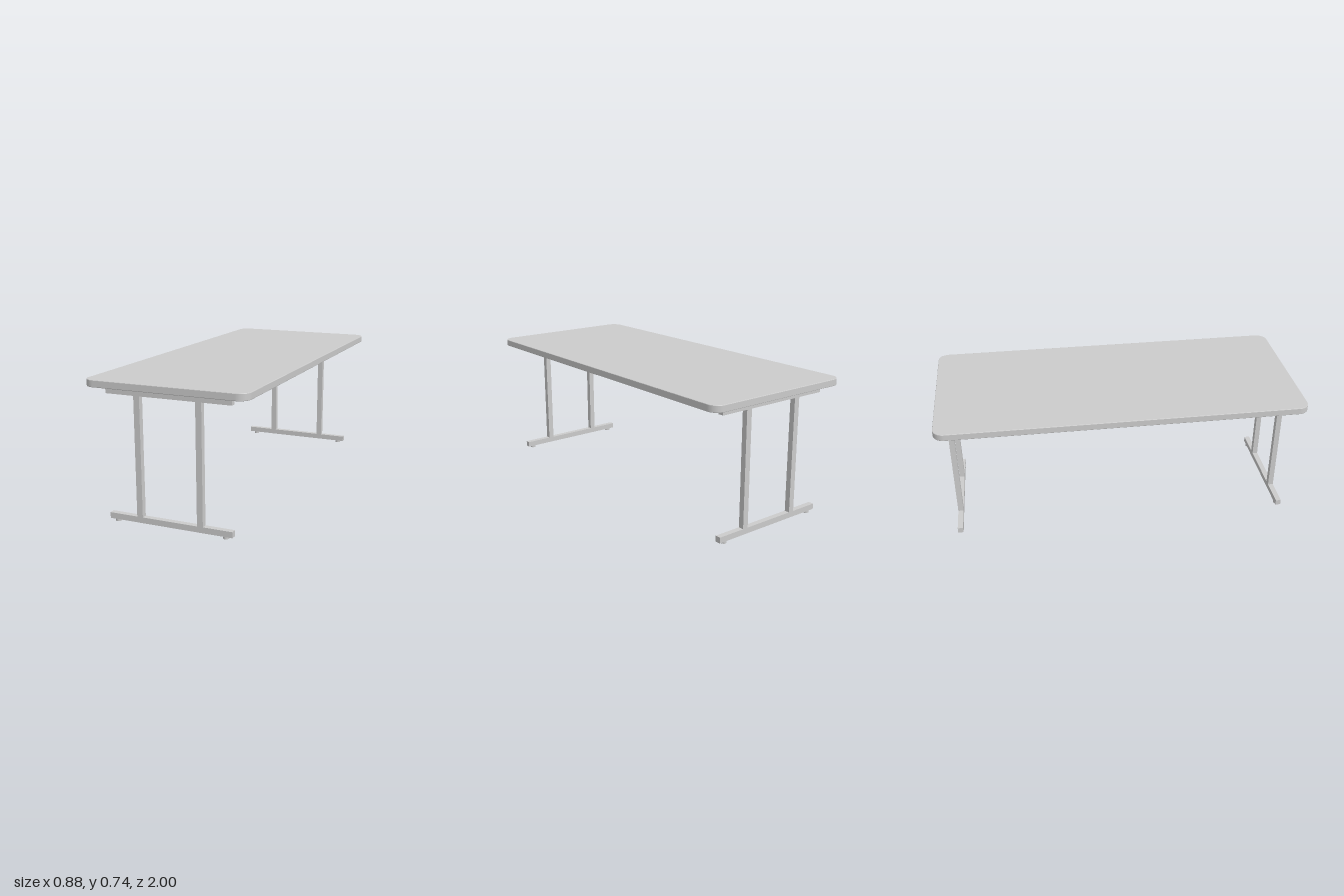
import * as THREE from 'three';

const material = new THREE.MeshStandardMaterial({ color: 0xcccccc });

function add(parent, name, geometry, x, y, z) {
  const mesh = new THREE.Mesh(geometry, material);
  mesh.name = name;
  mesh.position.set(x, y, z);
  parent.add(mesh);
  return mesh;
}

// Box spanning y0..y1, centred on x and z
function bar(parent, name, width, y0, y1, depth, x = 0) {
  add(parent, name, new THREE.BoxGeometry(width, y1 - y0, depth), x, (y0 + y1) / 2, 0);
}

function roundedRectangle(hx, hy, r) {
  const s = new THREE.Shape();
  s.absarc(hx - r, hy - r, r, 0, Math.PI / 2);
  s.absarc(-hx + r, hy - r, r, Math.PI / 2, Math.PI);
  s.absarc(-hx + r, -hy + r, r, Math.PI, Math.PI * 1.5);
  s.absarc(hx - r, -hy + r, r, Math.PI * 1.5, Math.PI * 2);
  s.closePath();
  return s;
}

// Slab with rounded corners and a slightly softened rim
function tabletopGeometry() {
  const bevel = 0.003, bottom = 0.703, top = 0.74;
  const geometry = new THREE.ExtrudeGeometry(roundedRectangle(0.44 - bevel, 1 - bevel, 0.057), {
    depth: top - bottom - 2 * bevel,
    bevelEnabled: true,
    bevelSize: bevel,
    bevelThickness: bevel,
    bevelSegments: 2,
    curveSegments: 12,
  });
  geometry.rotateX(-Math.PI / 2);
  geometry.translate(0, bottom + bevel, 0);
  return geometry;
}

// Trestle: top rail, two uprights, floor rail and two glides
function legFrame(name, z) {
  const frame = new THREE.Group();
  frame.name = name;
  frame.position.z = z;
  const depth = 0.03;
  bar(frame, 'topRail', 0.684, 0.667, 0.703, depth);
  bar(frame, 'floorRail', 0.684, 0.012, 0.043, depth);
  for (const side of [-1, 1]) {
    const label = side > 0 ? 'left' : 'right';
    bar(frame, label + 'Upright', 0.032, 0.043, 0.667, depth, side * 0.168);
    add(frame, label + 'Glide', new THREE.CylinderGeometry(0.015, 0.015, 0.012, 24), side * 0.302, 0.006, 0);
  }
  return frame;
}

export function createModel() {
  const table = new THREE.Group();
  table.name = 'table';
  add(table, 'tabletop', tabletopGeometry(), 0, 0, 0);
  table.add(legFrame('frontLegFrame', 0.93), legFrame('backLegFrame', -0.93));
  return table;
}
